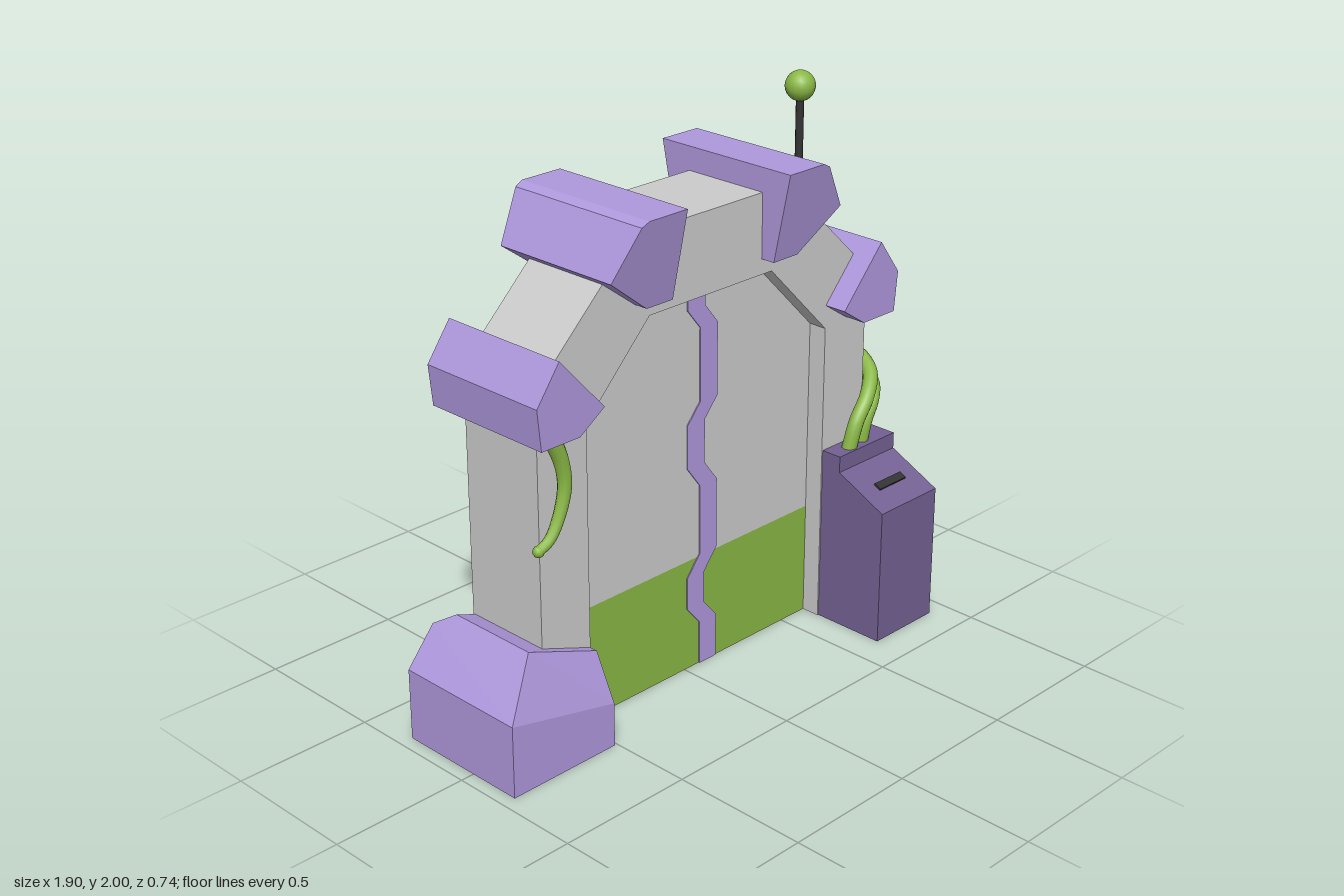
import * as THREE from 'three';
import { ConvexGeometry } from 'three/addons/geometries/ConvexGeometry.js';

const CX = 0.055, CZ = -0.08; // centre line of the gate
const mat = (color, flatShading = true) =>
  new THREE.MeshStandardMaterial({ color, flatShading, side: THREE.DoubleSide });
const grey = mat(0xcccccc), purple = mat(0xae98dc), dark = mat(0x736193);
const slime = mat(0x8ab845), black = mat(0x333333, false);
const smoothGreen = mat(0x8ab845, false);
const V = (p) => new THREE.Vector3(...p);
const shapeOf = (pts) => new THREE.Shape(pts.map((p) => new THREE.Vector2(...p)));
const mirror = (pts) => pts.map(([x, y]) => [2 * CX - x, y]).reverse();

// Extrude an x-y outline between two depths
function prism(pts, z0, z1) {
  const g = new THREE.ExtrudeGeometry(shapeOf(pts), { depth: z1 - z0, bevelEnabled: false });
  return g.translate(0, 0, z0);
}

// Remove the faces lying on the ground, leaving the shell open below
function openBottom(geo) {
  const p = (geo.index ? geo.toNonIndexed() : geo).attributes.position;
  const out = [];
  for (let i = 0; i < p.count; i += 3) {
    const tri = [i, i + 1, i + 2];
    if (tri.every((k) => p.getY(k) < 1e-4)) continue;
    tri.forEach((k) => out.push(p.getX(k), p.getY(k), p.getZ(k)));
  }
  const g = new THREE.BufferGeometry();
  g.setAttribute('position', new THREE.Float32BufferAttribute(out, 3));
  g.computeVertexNormals();
  return g;
}

// Tube through points whose radius changes from r0 to r1
function taperTube(points, r0, r1) {
  const curve = new THREE.CatmullRomCurve3(points.map(V));
  const n = 24, sides = 10;
  const g = new THREE.TubeGeometry(curve, n, 1, sides, false);
  const p = g.attributes.position, v = new THREE.Vector3();
  for (let i = 0; i < p.count; i++) {
    const t = Math.floor(i / (sides + 1)) / n;
    const c = curve.getPointAt(t);
    v.fromBufferAttribute(p, i).sub(c).multiplyScalar(r0 + (r1 - r0) * t).add(c);
    p.setXYZ(i, v.x, v.y, v.z);
  }
  return g;
}

export function createModel() {
  const group = new THREE.Group();
  const add = (name, geo, material, x = 0, y = 0, z = 0) => {
    const m = new THREE.Mesh(geo, material);
    m.name = name;
    m.position.set(x, y, z);
    group.add(m);
    return m;
  };

  // Stone arch
  const outer = [[-0.72, 0], [-0.72, 1.295], [-0.3, 1.695]];
  const inner = [[-0.51, 0], [-0.51, 1.125], [-0.23, 1.41]];
  const arch = [...outer, ...mirror(outer), ...inner.concat(mirror(inner)).reverse()];
  add('archFrame', openBottom(prism(arch, -0.245, 0.09)), grey);

  // Recessed door: back sheet, front upper sheet, painted lower sheet
  const front = 0.02, back = -0.18, level = 0.42;
  const opening = [...inner, ...mirror(inner)];
  add('doorBack', new THREE.ShapeGeometry(shapeOf([...opening].reverse())), grey, 0, 0, back);
  const upper = opening.map(([x, y]) => [x, Math.max(y, level)]);
  add('doorFront', new THREE.ShapeGeometry(shapeOf([...upper].reverse())), grey, 0, 0, front);
  add('doorLowerBand', new THREE.PlaneGeometry(1.13, level), slime, CX, level / 2, front);

  // Zigzag stripe down the door
  const edge = [[0.01, 1.41], [0.01, 1.34], [0.07, 1.265], [0.07, 1.0], [0.01, 0.93], [0.01, 0.77],
    [0.07, 0.69], [0.07, 0.43], [0.01, 0.355], [0.01, 0.235], [0.07, 0.165], [0.07, 0]];
  const stripe = [...edge, ...edge.map(([x, y]) => [x + 0.082, y]).reverse()];
  add('doorStripe', prism(stripe, front - 0.004, front + 0.004), purple);

  // Crown and shoulder blocks, mirrored about the gate's centre line
  const crown = [[-0.475, 1.6], [-0.375, 1.765], [-0.345, 1.78], [-0.18, 1.78], [-0.18, 1.465], [-0.295, 1.465]];
  const shoulder = [[-0.79, 1.285], [-0.695, 1.415], [-0.51, 1.21], [-0.615, 1.14], [-0.775, 1.14]];
  for (const [side, f] of [['right', (p) => p], ['left', mirror]]) {
    // Crown depth widens towards the top
    const g = prism(f(crown), -1, 1);
    const p = g.attributes.position;
    for (let i = 0; i < p.count; i++) {
      const half = 0.29 - (1.78 - p.getY(i)) * 0.21;
      p.setZ(i, CZ + Math.sign(p.getZ(i)) * half);
    }
    g.computeVertexNormals();
    add(side + 'CrownBlock', g, purple);
    add(side + 'ShoulderBlock', prism(f(shoulder), -0.335, 0.175), purple);
  }

  // Foot boulder
  const foot = [
    [-0.95, 0, 0.2], [-0.51, 0, 0.2], [-0.95, 0.26, 0.2], [-0.51, 0.16, 0.2],
    [-0.8, 0.435, 0.115], [-0.51, 0.325, 0.12], [-0.8, 0.435, -0.235], [-0.51, 0.325, -0.24],
    [-0.84, 0.39, -0.31], [-0.51, 0.285, -0.31], [-0.95, 0.26, -0.31], [-0.95, 0, -0.31], [-0.51, 0, -0.31],
  ];
  add('footBlock', openBottom(new ConvexGeometry(foot.map(V))), purple);

  // Control box: side profile drawn as (-z, y), turned to run along x
  const profile = [[-0.37, 0], [0.02, 0], [0.02, 0.66], [-0.17, 0.66], [-0.17, 0.6], [-0.37, 0.505]];
  const box = prism(profile, 0, 0.295).rotateY(Math.PI / 2);
  add('controlBox', box, dark, 0.625, 0, 0);
  const slot = add('controlSlot', new THREE.BoxGeometry(0.14, 0.012, 0.03), black, 0.775, 0.551, 0.277);
  slot.rotation.x = Math.atan2(0.095, 0.2);

  // Socket ring and the two pipes joining it to the box
  const ring = new THREE.TorusGeometry(0.09, 0.02, 8, 8).rotateZ(Math.PI / 8).rotateY(Math.PI / 2);
  add('socketRing', ring, mat(0xcccccc, false), 0.835, 0.92, CZ);
  const pipes = [
    [[0.78, 0.96, -0.1], [0.86, 0.955, -0.075], [0.905, 0.93, -0.01], [0.88, 0.885, 0.08],
      [0.81, 0.825, 0.13], [0.745, 0.75, 0.14], [0.71, 0.64, 0.135]],
    [[0.78, 0.9, -0.1], [0.86, 0.895, -0.07], [0.92, 0.865, 0], [0.905, 0.835, 0.07],
      [0.855, 0.795, 0.115], [0.81, 0.735, 0.125], [0.79, 0.64, 0.12]],
  ];
  pipes.forEach((p, i) => add('pipe' + (i + 1), taperTube(p, 0.028, 0.028), smoothGreen));

  // Hanging tendril
  const tendril = [[-0.7, 1.17, 0.125], [-0.65, 1.05, 0.125], [-0.64, 0.96, 0.125],
    [-0.67, 0.86, 0.125], [-0.71, 0.8, 0.125], [-0.75, 0.775, 0.12]];
  add('tendril', taperTube(tendril, 0.03, 0.017), smoothGreen);
  add('tendrilTip', new THREE.SphereGeometry(0.02, 10, 8), smoothGreen, -0.75, 0.775, 0.12);

  // Antenna
  add('antennaRod', new THREE.CylinderGeometry(0.014, 0.014, 0.5, 10), black, 0.655, 1.7, CZ);
  add('antennaBall', new THREE.SphereGeometry(0.053, 16, 12), smoothGreen, 0.655, 1.947, CZ);
  add('antennaBase', new THREE.SphereGeometry(0.052, 16, 12), smoothGreen, 0.627, 1.485, CZ);
  return group;
}
